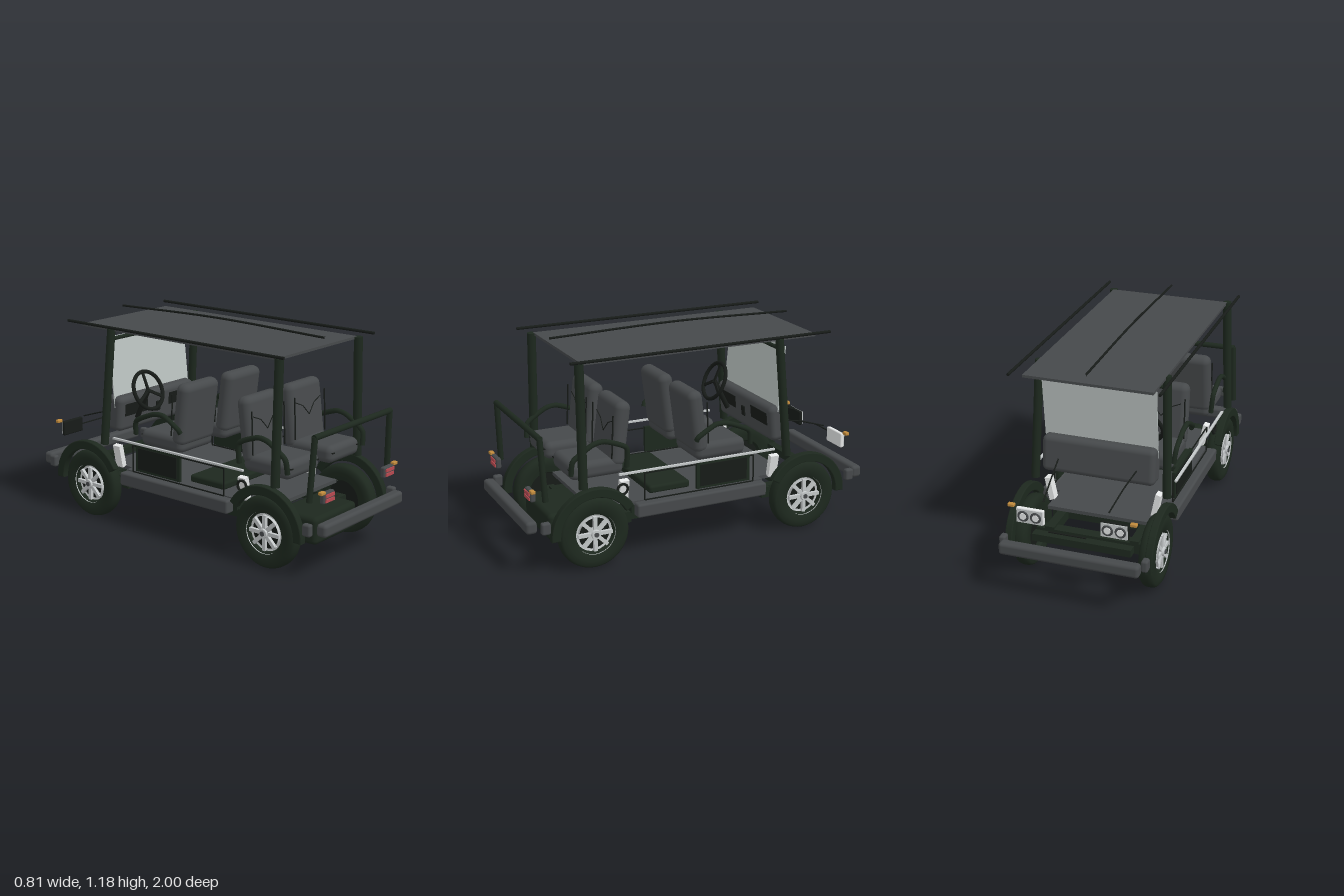
import * as THREE from 'three';
import { RoundedBoxGeometry } from 'three/addons/geometries/RoundedBoxGeometry.js';

const mat = (name, color, extra = {}) => Object.assign(new THREE.MeshStandardMaterial({ color, ...extra }), { name });

export function createModel() {
  const root = new THREE.Group();
  root.name = 'openCart';
  const green = mat('dark green', 0x1d281e);
  const grey = mat('charcoal grey', 0x46494b);
  const black = mat('black trim', 0x171b18);
  const silver = mat('silver', 0xc4c8c9);
  const white = mat('white', 0xe6e8e8);
  const red = mat('red lens', 0xb84a50);
  const amber = mat('amber lens', 0xc08a3c);
  const glass = mat('windscreen grey', 0xbcc4c2, { side: THREE.DoubleSide });

  const add = (name, geo, m, p = [0, 0, 0], r = [0, 0, 0], parent = root) => {
    const mesh = new THREE.Mesh(geo, m);
    mesh.name = name;
    mesh.position.set(...p);
    mesh.rotation.set(...r);
    parent.add(mesh);
    return mesh;
  };
  const box = (name, s, m, p, r, parent) => add(name, new THREE.BoxGeometry(...s), m, p, r, parent);
  const soft = (name, s, rad, m, p, r, parent) => add(name, new RoundedBoxGeometry(...s, 3, rad), m, p, r, parent);
  const V = a => new THREE.Vector3(...a);
  // straight round bar between two points
  const rod = (name, a, b, rad, m, parent = root) => {
    const d = V(b).sub(V(a));
    const mesh = add(name, new THREE.CylinderGeometry(rad, rad, d.length(), 14), m, V(a).addScaledVector(d, 0.5).toArray(), [0, 0, 0], parent);
    mesh.quaternion.setFromUnitVectors(new THREE.Vector3(0, 1, 0), d.normalize());
    return mesh;
  };
  const tube = (name, pts, rad, m, tension = 0.3) => add(name,
    new THREE.TubeGeometry(new THREE.CatmullRomCurve3(pts.map(V), false, 'catmullrom', tension), 36, rad, 10), m);

  // ---- wheels: axle along local y, outer face at +y
  const tyreProfile = [[0.11, -0.034], [0.15, -0.041], [0.178, -0.038], [0.19, -0.026], [0.194, -0.01], [0.194, 0.01],
    [0.19, 0.026], [0.178, 0.038], [0.15, 0.041], [0.11, 0.034], [0.102, 0.02], [0.102, -0.02], [0.11, -0.034]];
  const rimProfile = [[0.088, 0.012], [0.09, 0.034], [0.1, 0.044], [0.112, 0.04], [0.11, 0.012], [0.088, 0.012]];
  const lathe = p => new THREE.LatheGeometry(p.map(q => new THREE.Vector2(...q)), 40);
  function wheel(side, z) {
    const g = new THREE.Group();
    g.name = 'wheel';
    g.position.set(side * 0.345, 0.196, z);
    g.rotation.z = -side * Math.PI / 2;
    add('tyre', lathe(tyreProfile), green, [0, 0, 0], [0, 0, 0], g);
    add('rimRing', lathe(rimProfile), silver, [0, 0, 0], [0, 0, 0], g);
    add('brakeDisc', new THREE.CylinderGeometry(0.1, 0.1, 0.02, 32), black, [0, 0, 0], [0, 0, 0], g);
    add('hub', new THREE.CylinderGeometry(0.024, 0.032, 0.04, 20), silver, [0, 0.03, 0], [0, 0, 0], g);
    add('hubCap', new THREE.CylinderGeometry(0.013, 0.013, 0.008, 16), grey, [0, 0.051, 0], [0, 0, 0], g);
    for (let i = 0; i < 8; i++) {
      const a = i * Math.PI / 4;
      box('spoke', [0.075, 0.018, 0.02], silver, [Math.cos(a) * 0.058, 0.03, -Math.sin(a) * 0.058], [0, a, 0], g);
    }
    root.add(g);
  }

  // ---- fender arch: z-y arc band extruded across x
  function fender(side, z, dir) {
    const a0 = -0.02, a1 = Math.PI * 0.83, s = new THREE.Shape();
    s.absarc(0, 0, 0.24, a0, a1, false);
    s.absarc(0, 0, 0.2, a1, a0, true);
    const geo = new THREE.ExtrudeGeometry(s, { depth: 0.03, bevelEnabled: true, bevelSize: 0.005, bevelThickness: 0.005, bevelSegments: 2, curveSegments: 28 });
    geo.translate(0, 0, -0.015);
    add('fender', geo, green, [side * 0.38, 0.205, z], [0, dir > 0 ? -Math.PI / 2 : Math.PI / 2, 0]);
    soft('bumperCorner', [0.036, 0.066, 0.05], 0.012, grey, [side * 0.382, 0.277, dir * 0.907]);
  }

  for (const s of [-1, 1]) {
    for (const [z, dir] of [[0.635, 1], [-0.62, -1]]) { wheel(s, z); fender(s, z, dir); }

    // roof posts
    rod('rearPost', [s * 0.367, 0.45, 0.692], [s * 0.345, 1.108, 0.692], 0.024, green);
    rod('frontPost', [s * 0.367, 0.45, -0.507], [s * 0.345, 1.108, -0.457], 0.023, green);
    rod('roofSideRail', [s * 0.396, 1.127, 0.757], [s * 0.396, 1.127, -0.74], 0.008, black);

    // sills, side panels and trim
    soft('sill', [0.06, 0.075, 0.77], 0.012, grey, [s * 0.358, 0.278, 0.01]);
    box('chassisRail', [0.05, 0.055, 1.3], green, [s * 0.235, 0.215, 0]);
    box('sidePanel', [0.018, 0.15, 0.32], green, [s * 0.335, 0.405, -0.13]);
    box('panelInset', [0.006, 0.12, 0.28], black, [s * 0.346, 0.405, -0.13]);
    for (const z of [0.335, -0.315]) box('panelFrame', [0.006, 0.15, 0.006], black, [s * 0.34, 0.395, z]);
    for (const y of [0.32, 0.47]) box('panelFrame', [0.006, 0.006, 0.65], black, [s * 0.34, y, 0.01]);
    box('sideTrim', [0.014, 0.01, 0.92], silver, [s * 0.385, 0.503, 0.04]);
    add('fillerRing', new THREE.TorusGeometry(0.028, 0.007, 10, 28), black, [s * 0.35, 0.405, 0.465], [0, Math.PI / 2, 0]);
    for (const z of [0.44, -0.46]) box('innerStrut', [0.03, 0.13, 0.05], white, [s * 0.298, 0.375, z], [0, 0, -s * 0.2]);

    // armrests
    tube('rearArmrest', [[s * 0.335, 0.52, 0.745], [s * 0.345, 0.6, 0.735], [s * 0.345, 0.67, 0.63], [s * 0.345, 0.68, 0.56],
      [s * 0.345, 0.63, 0.44], [s * 0.335, 0.52, 0.435]], 0.014, green);
    tube('frontArmrest', [[s * 0.335, 0.6, 0.03], [s * 0.345, 0.625, 0.02], [s * 0.345, 0.68, -0.08], [s * 0.345, 0.675, -0.16],
      [s * 0.345, 0.62, -0.28], [s * 0.335, 0.54, -0.295]], 0.014, green);

    // tail lamps
    soft('tailLampHousing', [0.095, 0.06, 0.03], 0.01, grey, [s * 0.273, 0.432, 0.945]);
    for (const y of [0.419, 0.444]) box('tailLens', [0.074, 0.017, 0.008], red, [s * 0.273, y, 0.962]);
    soft('rearMarker', [0.036, 0.018, 0.025], 0.005, amber, [s * 0.328, 0.464, 0.952]);

    // head lamps with twin round lenses
    soft('headLampHousing', [0.15, 0.085, 0.022], 0.008, s < 0 ? black : white, [s * 0.225, 0.45, -0.912]);
    box('headLampFace', [0.14, 0.075, 0.006], silver, [s * 0.225, 0.45, -0.925]);
    for (const dx of [-0.034, 0.034]) {
      add('lampRing', new THREE.TorusGeometry(0.024, 0.006, 8, 24), grey, [s * 0.225 + dx, 0.45, -0.929]);
      add('lampLens', new THREE.CylinderGeometry(0.018, 0.018, 0.008, 20), white, [s * 0.225 + dx, 0.45, -0.93], [Math.PI / 2, 0, 0]);
    }
    soft('frontMarker', [0.036, 0.018, 0.025], 0.005, amber, [s * 0.325, 0.5, -0.918]);
    tube('hoodCable', [[s * 0.215, 0.6, -0.55], [s * 0.195, 0.565, -0.7], [s * 0.175, 0.51, -0.865]], 0.004, black);

    // rear grab frame legs
    rod('grabFrameLeg', [s * 0.352, 0.41, 0.893], [s * 0.335, 0.745, 0.908], 0.016, green);
  }
  rod('grabFrameBar', [-0.342, 0.742, 0.908], [0.342, 0.742, 0.908], 0.016, green);

  // ---- seats: rear pair faces backward (+z), front pair faces forward (-z)
  function seat(x, z, dir) {
    const g = new THREE.Group();
    g.name = 'seat';
    g.position.set(x, 0, z);
    if (dir < 0) g.rotation.y = Math.PI;
    soft('cushion', [0.275, 0.095, 0.3], 0.035, grey, [0, 0.523, 0.15], [0, 0, 0], g);
    soft('backrest', [0.285, 0.35, 0.085], 0.038, grey, [0, 0.69, 0.015], [-0.13, 0, 0], g);
    for (const s of [-1, 1]) {
      rod('backSeam', [s * 0.05, 0.74, 0.053], [0, 0.685, 0.06], 0.0025, black, g);
      rod('backSeam', [s * 0.11, 0.765, 0.05], [s * 0.05, 0.74, 0.053], 0.0025, black, g);
      box('beltLatch', [0.02, 0.006, 0.008], black, [s * 0.11, 0.535, 0.299], [0, 0, 0], g);
      rod('beltStem', [s * 0.135, 0.57, 0.07], [s * 0.135, 0.8, 0.06], 0.004, black, g);
    }
    root.add(g);
  }
  for (const s of [-1, 1]) { seat(s * 0.182, 0.44, 1); seat(s * 0.182, 0.02, -1); }

  // ---- roof
  box('roofPanel', [0.69, 0.014, 1.365], grey, [0, 1.103, 0]);
  tube('roofCentreRail', [[0, 1.16, 0.72], [0, 1.175, 0], [0, 1.16, -0.7]], 0.006, black, 0.5);
  for (const z of [0.41, 0, -0.45]) rod('roofRib', [-0.3, 1.09, z], [0.3, 1.09, z], 0.008, grey);

  // ---- windscreen, dashboard and steering
  box('windscreen', [0.62, 0.4, 0.006], glass, [0, 0.85, -0.497], [-0.1, 0, 0]);
  rod('windscreenTopBar', [-0.345, 1.05, -0.465], [0.345, 1.05, -0.465], 0.011, green);
  soft('dashboard', [0.62, 0.2, 0.115], 0.03, grey, [0, 0.615, -0.495], [0.1, 0, 0]);
  soft('dashCentrePanel', [0.036, 0.058, 0.012], 0.005, black, [0, 0.61, -0.436], [0.1, 0, 0]);
  for (const x of [-0.18, 0.18]) box('dashPanel', [0.18, 0.07, 0.008], black, [x, 0.635, -0.436], [0.1, 0, 0]);
  const wheelGroup = new THREE.Group();
  wheelGroup.name = 'steeringWheel';
  wheelGroup.position.set(-0.18, 0.75, -0.343);
  wheelGroup.rotation.x = -0.42;
  root.add(wheelGroup);
  add('steeringRim', new THREE.TorusGeometry(0.108, 0.011, 10, 36), black, [0, 0, 0], [0, 0, 0], wheelGroup);
  for (let i = 0; i < 3; i++) {
    const a = Math.PI / 2 + i * Math.PI * 2 / 3;
    box('steeringSpoke', [0.1, 0.016, 0.008], black, [Math.cos(a) * 0.052, Math.sin(a) * 0.052, 0], [0, 0, a], wheelGroup);
  }
  rod('steeringColumn', [-0.18, 0.75, -0.343], [-0.18, 0.58, -0.43], 0.014, black);

  // ---- floor, chassis and running gear
  box('floor', [0.65, 0.02, 0.78], grey, [0, 0.306, 0.01]);
  box('frontFloor', [0.56, 0.02, 0.2], grey, [0, 0.306, -0.46]);
  box('rearFloor', [0.56, 0.02, 0.24], grey, [0, 0.306, 0.5]);
  soft('floorHump', [0.52, 0.045, 0.24], 0.015, green, [0, 0.333, 0.15]);
  box('underTray', [0.42, 0.05, 0.4], green, [0, 0.225, 0.08]);
  box('underBody', [0.62, 0.04, 0.8], green, [0, 0.265, 0]);
  for (const z of [-0.42, 0.42]) box('crossMember', [0.6, 0.06, 0.05], green, [0, 0.22, z]);
  for (const z of [-0.62, 0.635]) box('axleBeam', [0.62, 0.06, 0.06], green, [0, 0.2, z]);
  box('frontFrameBar', [0.54, 0.04, 0.05], green, [0, 0.26, -0.78]);
  soft('motorCover', [0.375, 0.15, 0.26], 0.025, green, [0, 0.185, 0.69]);

  // ---- bumpers
  soft('rearBumper', [0.715, 0.068, 0.06], 0.018, grey, [0, 0.277, 0.97]);
  soft('frontBumper', [0.75, 0.068, 0.06], 0.018, grey, [0, 0.277, -0.97]);
  box('plateBar', [0.2, 0.005, 0.008], black, [0, 0.42, -0.985]);
  return root;
}
